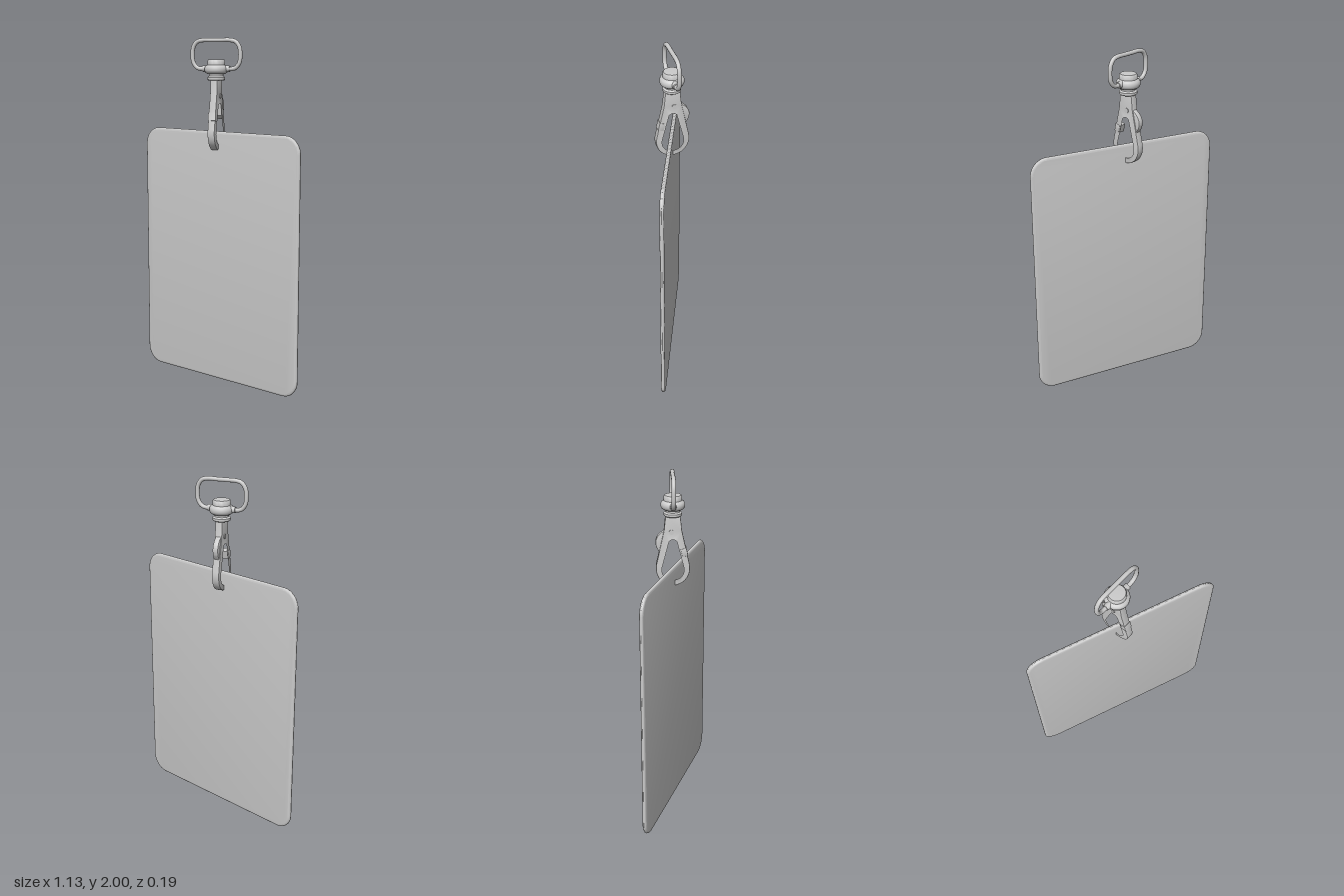
import * as THREE from 'three';
import { toCreasedNormals } from 'three/addons/utils/BufferGeometryUtils.js';

const material = new THREE.MeshStandardMaterial({ color: 0xcccccc });

function add(parent, name, geometry) {
  const mesh = new THREE.Mesh(geometry, material);
  mesh.name = name;
  parent.add(mesh);
  return mesh;
}

const vectors = (points) => points.map(([x, y]) => new THREE.Vector2(x, y));

// Extrude a profile centred on its depth, with a small rounded edge
function slab(shape, thickness, bevelDepth, bevelSize, bevelSegments = 3) {
  const depth = thickness - 2 * bevelDepth;
  const geometry = new THREE.ExtrudeGeometry(shape, {
    depth, bevelThickness: bevelDepth, bevelSize, bevelOffset: -bevelSize, bevelSegments, curveSegments: 14,
  });
  geometry.translate(0, 0, -depth / 2);
  return toCreasedNormals(geometry, 0.6);
}

// Side profile (z, y) turned so that it lies in the YZ plane
function sideSlab(shape, thickness, bevel = 0.005) {
  return slab(shape, thickness, bevel, bevel, 2).rotateY(-Math.PI / 2);
}

function cardShape(w, h, r) {
  const s = new THREE.Shape();
  s.absarc(w / 2 - r, r, r, -Math.PI / 2, 0);
  s.absarc(w / 2 - r, h - r, r, 0, Math.PI / 2);
  s.absarc(-w / 2 + r, h - r, r, Math.PI / 2, Math.PI);
  s.absarc(-w / 2 + r, r, r, Math.PI, Math.PI * 1.5);
  s.closePath();
  return s;
}

// Tapered neck widening into a round hook, with a teardrop opening
function hookShape() {
  const s = new THREE.Shape();
  s.moveTo(-0.04, 1.775);
  s.lineTo(0.04, 1.775);
  s.lineTo(0.05, 1.68);
  s.lineTo(0.092, 1.49);
  s.bezierCurveTo(0.106, 1.42, 0.06, 1.365, 0, 1.365);
  s.bezierCurveTo(-0.06, 1.365, -0.106, 1.42, -0.092, 1.49);
  s.lineTo(-0.05, 1.68);
  s.closePath();
  const hole = new THREE.Path();
  hole.moveTo(0.026, 1.625);
  hole.lineTo(0.066, 1.47);
  hole.bezierCurveTo(0.072, 1.42, 0.04, 1.392, 0, 1.392);
  hole.bezierCurveTo(-0.04, 1.392, -0.072, 1.42, -0.066, 1.47);
  hole.lineTo(-0.026, 1.625);
  hole.quadraticCurveTo(0, 1.65, 0.026, 1.625);
  s.holes.push(hole);
  return s;
}

export function createModel() {
  const model = new THREE.Group();
  model.name = 'taggedSwivelClip';

  // Flat card with rounded corners and a soft rim
  add(model, 'card', slab(cardShape(1.13, 1.475, 0.1), 0.024, 0.011, 0.014)).position.z = 0.004;

  // All hardware shares one turned axis
  const clip = new THREE.Group();
  clip.name = 'swivelClip';
  clip.position.set(-0.024, 0, -0.001);
  clip.rotation.y = 0.36;
  model.add(clip);

  add(clip, 'hook', sideSlab(hookShape(), 0.042));

  // Thumb lever on the back arm
  const lever = new THREE.Shape();
  lever.moveTo(-0.04, 1.69);
  lever.lineTo(-0.058, 1.675);
  lever.bezierCurveTo(-0.076, 1.665, -0.098, 1.64, -0.096, 1.61);
  lever.quadraticCurveTo(-0.094, 1.585, -0.078, 1.565);
  lever.lineTo(-0.07, 1.54);
  lever.lineTo(-0.052, 1.56);
  lever.closePath();
  add(clip, 'thumbLever', sideSlab(lever, 0.032));

  // Latch tip where the front arm is split
  const tip = new THREE.Shape(vectors([[0.053, 1.53], [0.084, 1.54], [0.074, 1.585], [0.042, 1.575]]));
  add(clip, 'latchTip', sideSlab(tip, 0.046, 0.003));

  // Pivot pin across the hook body
  const pin = add(clip, 'pivotPin', new THREE.CylinderGeometry(0.014, 0.014, 0.05, 20));
  pin.rotation.z = Math.PI / 2;
  pin.position.set(0, 1.675, -0.008);

  // Lower flange, waist, swivel barrel and top button in one turned profile
  const profile = vectors([
    [0, 1.762], [0.044, 1.762], [0.05, 1.767], [0.05, 1.78], [0.045, 1.785], [0.04, 1.787],
    [0.04, 1.798], [0.052, 1.8], [0.062, 1.807], [0.067, 1.818], [0.067, 1.832],
    [0.062, 1.842], [0.052, 1.848], [0.05, 1.85], [0.05, 1.872], [0.045, 1.879], [0, 1.881],
  ]);
  add(clip, 'swivelBarrel', toCreasedNormals(new THREE.LatheGeometry(profile, 36), 0.7));

  // Rounded wire loop, both ends held in the barrel
  const half = [
    [0.05, 1.83], [0.085, 1.827], [0.115, 1.834], [0.137, 1.862], [0.143, 1.905],
    [0.137, 1.95], [0.115, 1.979], [0.08, 1.988], [0.03, 1.988],
  ];
  const path = [...half, ...half.map(([x, y]) => [-x, y]).reverse()];
  const curve = new THREE.CatmullRomCurve3(path.map(([x, y]) => new THREE.Vector3(x, y, 0)));
  add(clip, 'wireLoop', new THREE.TubeGeometry(curve, 96, 0.012, 12));

  // Sockets around the loop ends
  for (const side of [-1, 1]) {
    const socket = add(clip, 'loopSocket', new THREE.CylinderGeometry(0.017, 0.02, 0.03, 16));
    socket.rotation.z = -side * Math.PI / 2;
    socket.position.set(side * 0.066, 1.828, 0);
  }

  return model;
}
